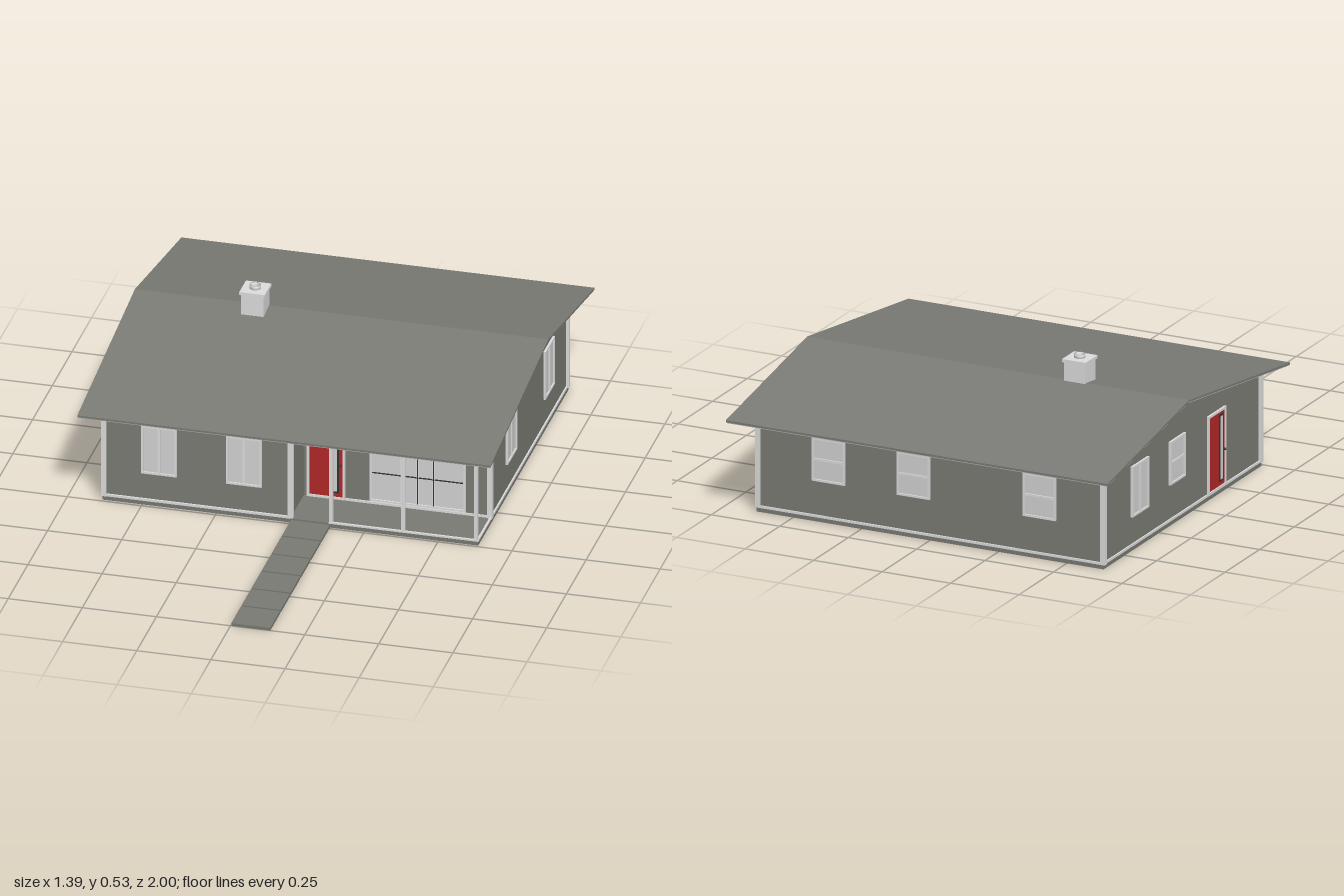
import * as THREE from 'three';

const mat = (name, color) => Object.assign(new THREE.MeshStandardMaterial({ color }), { name });

export function createModel() {
  const siding = mat('grey siding', 0x7b7c75);
  const roofing = mat('grey roofing', 0x7b7c76);
  const concrete = mat('concrete', 0x7a7a74);
  const trim = mat('light trim', 0xdedede);
  const glass = mat('pale glass', 0xd4d4d4);
  const soffitMat = mat('soffit grey', 0xb4b4b2);
  const red = mat('door red', 0xb22828);
  const dark = mat('dark line', 0x333333);
  const wood = mat('wood floor', 0xa88a70);

  const house = new THREE.Group();
  house.name = 'house';

  const add = (parent, name, geo, material, x = 0, y = 0, z = 0) => {
    const m = new THREE.Mesh(geo, material);
    m.name = name;
    m.position.set(x, y, z);
    parent.add(m);
    return m;
  };
  // box given by its limits on each axis
  const box = (parent, name, material, x0, x1, y0, y1, z0, z1) =>
    add(parent, name, new THREE.BoxGeometry(x1 - x0, y1 - y0, z1 - z0), material,
      (x0 + x1) / 2, (y0 + y1) / 2, (z0 + z1) / 2);
  // [z, y] profile extruded along x
  const prism = (name, material, profile, x0, x1) => {
    const shape = new THREE.Shape(profile.map(([z, y]) => new THREE.Vector2(-z, y)));
    const geo = new THREE.ExtrudeGeometry(shape, { depth: x1 - x0, bevelEnabled: false });
    geo.rotateY(Math.PI / 2);
    return add(house, name, geo, material, x0, 0, 0);
  };

  // Roof heights
  const RIDGE = -0.41;
  const roofY = (z) => z > RIDGE ? 0.44 - (z - RIDGE) * 0.135 : 0.44 - (RIDGE - z) * 0.178;
  const layer = (z0, z1, top, bottom) => [
    [z0, roofY(z0) - top], [RIDGE, 0.44 - top], [z1, roofY(z1) - top],
    [z1, roofY(z1) - bottom], [RIDGE, 0.44 - bottom], [z0, roofY(z0) - bottom]];
  prism('roof', roofing, layer(-1, 0.322, 0, 0.007), -0.697, 0.697);
  prism('soffit', soffitMat, layer(-0.997, 0.319, 0.007, 0.011), -0.694, 0.694);

  // Walls: full-depth left half, right half recessed behind the porch
  const under = (z) => roofY(z) - 0.011;
  const walls = (name, zf, x0, x1) => prism(name, siding, [
    [-0.9, 0.012], [-0.9, under(-0.9)], [RIDGE, under(RIDGE)], [zf, under(zf)], [zf, 0.012]], x0, x1);
  walls('rightHandWalls', 0.235, -0.63, 0);
  walls('leftHandWalls', 0.07, 0, 0.63);

  // Floor, porch slab and interior wall footings
  box(house, 'floorLeft', wood, -0.628, 0, 0.002, 0.013, -0.9, 0.238);
  box(house, 'floorRight', wood, 0, 0.628, 0.002, 0.013, -0.9, 0.07);
  box(house, 'porchSlab', concrete, 0, 0.634, 0, 0.016, 0.07, 0.242);
  [[0.35, 0.63, -0.44, -0.43], [0.265, 0.273, -0.84, -0.5], [-0.134, -0.126, -0.875, -0.54],
    [-0.294, -0.286, -0.19, 0.22], [-0.53, -0.08, -0.35, -0.342]].forEach(([x0, x1, z0, z1]) =>
    box(house, 'interiorFooting', siding, x0, x1, 0, 0.004, z0, z1));

  // Foundation edge and light base trim along each wall run
  [[-0.634, -0.626, -0.904, 0.24], [0.626, 0.634, -0.904, 0.07],
    [-0.634, 0.634, -0.904, -0.896], [-0.634, 0, 0.232, 0.24]].forEach(([x0, x1, z0, z1]) => {
    box(house, 'foundation', concrete, x0, x1, 0, 0.014, z0, z1);
    box(house, 'baseTrim', trim, x0 - 0.001, x1 + 0.001, 0.014, 0.022, z0 - 0.001, z1 + 0.001);
  });
  box(house, 'porchBaseTrim', trim, 0.14, 0.63, 0.016, 0.024, 0.07, 0.074);
  box(house, 'porchEdgeTrim', trim, 0.13, 0.635, 0.014, 0.02, 0.236, 0.243);
  box(house, 'porchSideTrim', trim, 0.628, 0.635, 0.014, 0.02, 0.07, 0.243);
  box(house, 'eaveTrim', trim, -0.63, 0, 0.329, 0.338, 0.232, 0.239);

  // Corner boards and porch posts
  [[-0.63, 0.234], [-0.63, -0.897], [0.63, -0.897], [0.628, 0.068], [0, 0.234]].forEach(([x, z]) =>
    box(house, 'cornerBoard', trim, x - 0.009, x + 0.009, 0.014, under(z) - 0.002, z - 0.008, z + 0.008));
  [0.137, 0.38, 0.626].forEach((x) =>
    box(house, 'porchPost', trim, x - 0.006, x + 0.006, 0.016, under(0.235), 0.229, 0.241));

  // Openings are built facing local +z, then turned onto a wall
  const opening = (name, x, z, turn) => {
    const g = new THREE.Group();
    g.name = name;
    g.position.set(x, 0, z);
    g.rotation.y = turn;
    house.add(g);
    return g;
  };
  const frame = (g, w, y0, y1, t, d) => {
    const h = w / 2;
    box(g, 'frameLeft', trim, -h, -h + t, y0, y1, 0, d);
    box(g, 'frameRight', trim, h - t, h, y0, y1, 0, d);
    box(g, 'frameTop', trim, -h + t, h - t, y1 - t, y1, 0, d);
    box(g, 'frameBottom', trim, -h + t, h - t, y0, y0 + t, 0, d);
  };
  const windowAt = (x, z, turn, w, y0, y1, upright) => {
    const g = opening('window', x, z, turn);
    box(g, 'pane', glass, -w / 2, w / 2, y0, y1, 0, 0.003);
    frame(g, w, y0, y1, 0.007, 0.008);
    const m = (y0 + y1) / 2;
    if (upright) box(g, 'sashBar', trim, -0.004, 0.004, y0, y1, 0, 0.007);
    else box(g, 'sashBar', trim, -w / 2, w / 2, m - 0.004, m + 0.004, 0, 0.007);
  };
  const doorAt = (x, z, turn) => {
    const g = opening('door', x, z, turn);
    box(g, 'doorLeaf', red, -0.056, 0.056, 0.026, 0.282, 0, 0.004);
    frame(g, 0.128, 0.018, 0.29, 0.008, 0.008);
    box(g, 'liteSurround', dark, 0.018, 0.044, 0.04, 0.272, 0.004, 0.006);
    box(g, 'doorLite', glass, 0.024, 0.038, 0.047, 0.265, 0.006, 0.007);
    add(g, 'doorKnob', new THREE.SphereGeometry(0.004, 10, 8), dark, 0.051, 0.145, 0.009);
  };
  const Q = Math.PI / 2;
  [-0.443, -0.157].forEach((x) => windowAt(x, 0.235, 0, 0.12, 0.115, 0.29, true));
  [-0.18, -0.66].forEach((z) => windowAt(0.63, z, Q, 0.12, 0.115, 0.29, true));
  windowAt(-0.63, -0.64, -Q, 0.12, 0.115, 0.29, true);
  windowAt(-0.63, -0.37, -Q, 0.11, 0.14, 0.29, false);
  [-0.4, 0.06, 0.37].forEach((x) => windowAt(x, -0.9, Math.PI, 0.12, 0.14, 0.29, false));
  doorAt(0.076, 0.07, 0);
  doorAt(-0.63, -0.085, -Q);

  // Wide porch window with narrow dividing lines
  const wide = opening('porchWindow', 0.385, 0.07, 0);
  box(wide, 'pane', glass, -0.16, 0.16, 0.03, 0.29, 0, 0.003);
  frame(wide, 0.324, 0.028, 0.292, 0.007, 0.008);
  [-0.054, 0, 0.054].forEach((x) => {
    box(wide, 'mullion', trim, x - 0.005, x + 0.005, 0.03, 0.29, 0, 0.006);
    box(wide, 'mullionLine', dark, x - 0.0015, x + 0.0015, 0.035, 0.285, 0.006, 0.007);
  });
  box(wide, 'transomLine', dark, -0.153, 0.153, 0.1305, 0.1335, 0.003, 0.0065);

  // Chimney with cap and round flue
  const chimney = opening('chimney', -0.283, -0.38, 0);
  box(chimney, 'stack', trim, -0.038, 0.038, 0.42, 0.503, -0.038, 0.038);
  box(chimney, 'cap', trim, -0.043, 0.043, 0.503, 0.514, -0.043, 0.043);
  const flue = [[0.014, 0.514], [0.019, 0.514], [0.019, 0.526], [0.014, 0.526], [0.014, 0.514]]
    .map(([r, y]) => new THREE.Vector2(r, y));
  add(chimney, 'flue', new THREE.LatheGeometry(flue, 24), trim);

  // Front path of separate slabs
  const joints = [0.242, 0.36, 0.49, 0.617, 0.745, 0.872, 1.004];
  for (let i = 0; i < 6; i++)
    box(house, 'pathSlab', concrete, 0.003, 0.134, 0, 0.01, joints[i] + (i ? 0.004 : 0), joints[i + 1] - 0.004);

  return house;
}
